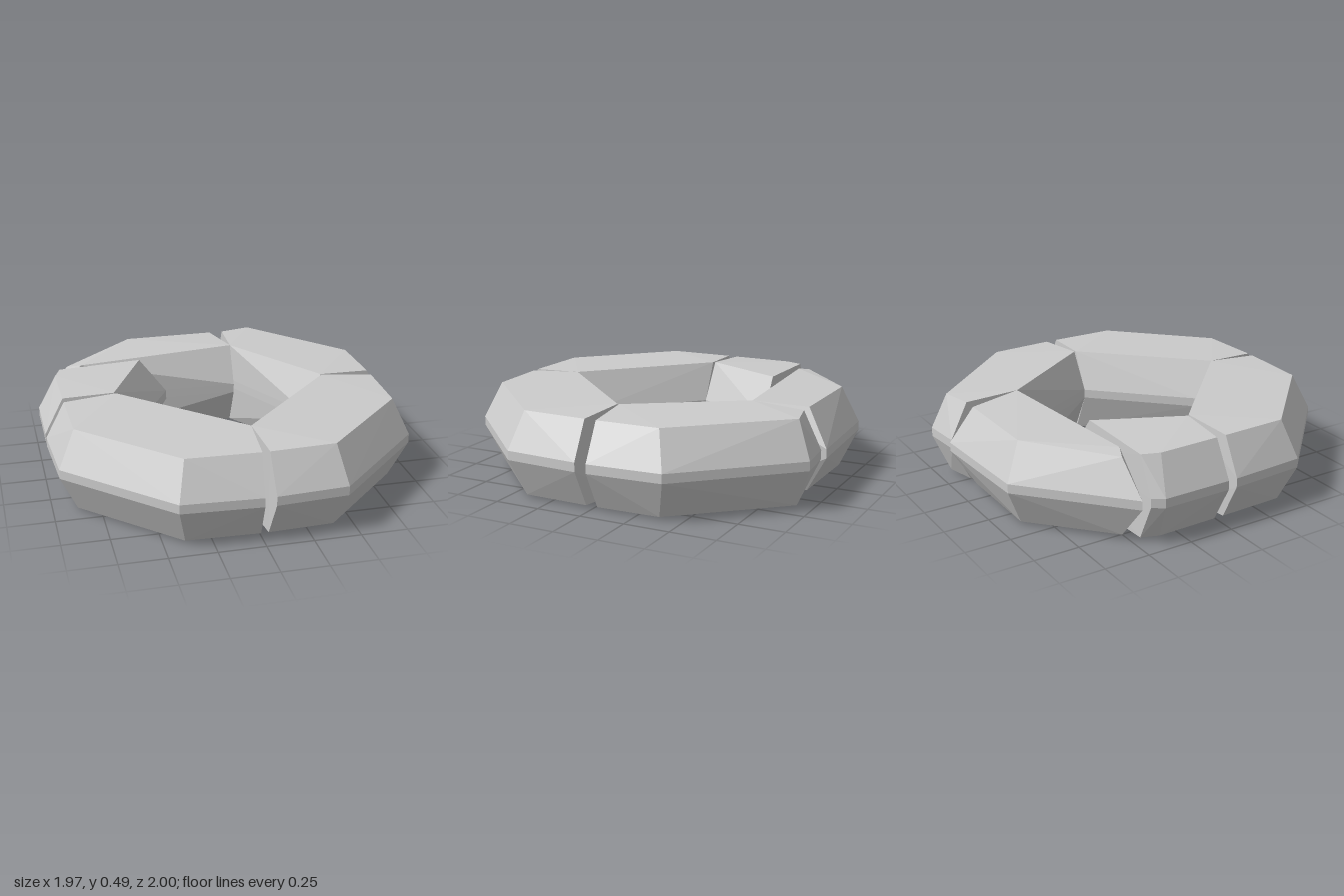
import * as THREE from 'three';
import { ConvexGeometry } from 'three/addons/geometries/ConvexGeometry.js';

const material = new THREE.MeshStandardMaterial({ color: 0xcccccc, flatShading: true });
const HEIGHT = 0.485, BELT_LOW = 0.22, BELT_HIGH = 0.27;

// One faceted stone: a wide belt outline at mid height, a smaller cap outline
// above and below. Points are [x, z]; an optional third value drops the cap's rim.
function stone(name, cap, belt) {
  const points = [];
  for (const [x, z, drop = 0] of cap) {
    points.push(new THREE.Vector3(x, HEIGHT - drop, z), new THREE.Vector3(x, drop, z));
  }
  for (const [x, z] of belt) {
    points.push(new THREE.Vector3(x, BELT_LOW, z), new THREE.Vector3(x, BELT_HIGH, z));
  }
  const mesh = new THREE.Mesh(new ConvexGeometry(points), material);
  mesh.name = name;
  return mesh;
}

export function createModel() {
  const group = new THREE.Group();
  group.name = 'stoneRing';
  const rim = 0.015;

  // two matching front stones, mirrored about x = 0.02 at the inner tip
  for (const side of [1, -1]) {
    const gap = side > 0 ? 0.05 : 0.01;
    group.add(stone(side > 0 ? 'frontLeftStone' : 'frontRightStone',
      [[0.02, 0.6], [side * 0.59, 0.01], [side * 0.88, 0.035, rim], [side * 0.87, 0.4, rim],
        [side * 0.39, 0.875, rim], [side * (gap - 0.01), 0.89, rim]],
      [[0.02, 0.49], [side * 0.49, 0.01], [side * 0.985, 0.035], [side * 0.96, 0.45],
        [side * 0.435, 0.97], [side * gap, 0.995]]));
  }

  // back left stone, turned a little outwards
  group.add(stone('backLeftStone',
    [[0.59, 0], [0.2, -0.585], [0.22, -0.88, rim], [0.395, -0.92, rim], [0.87, -0.38, rim], [0.88, -0.03, rim]],
    [[0.49, 0.01], [0.2, -0.56], [0.22, -0.98], [0.44, -1], [0.96, -0.44], [0.985, -0.03]]));

  // skewed back stone, its belt running out to a sharp corner
  group.add(stone('backStone',
    [[0.2, -0.585], [0.14, -0.88, rim], [-0.38, -0.88, rim], [-0.8, -0.53, rim * 2], [-0.72, -0.495, rim]],
    [[0.2, -0.48], [0.195, -1], [-0.43, -0.97], [-0.945, -0.505], [-0.9, -0.495]]));

  // short right stone filling the remaining gap
  group.add(stone('rightStone',
    [[-0.6, 0], [-0.38, -0.465], [-0.85, -0.455, rim], [-0.885, -0.36, rim], [-0.88, -0.02, rim]],
    [[-0.49, 0.01], [-0.22, -0.475], [-0.945, -0.455], [-0.985, -0.395], [-0.985, -0.015]]));

  return group;
}
